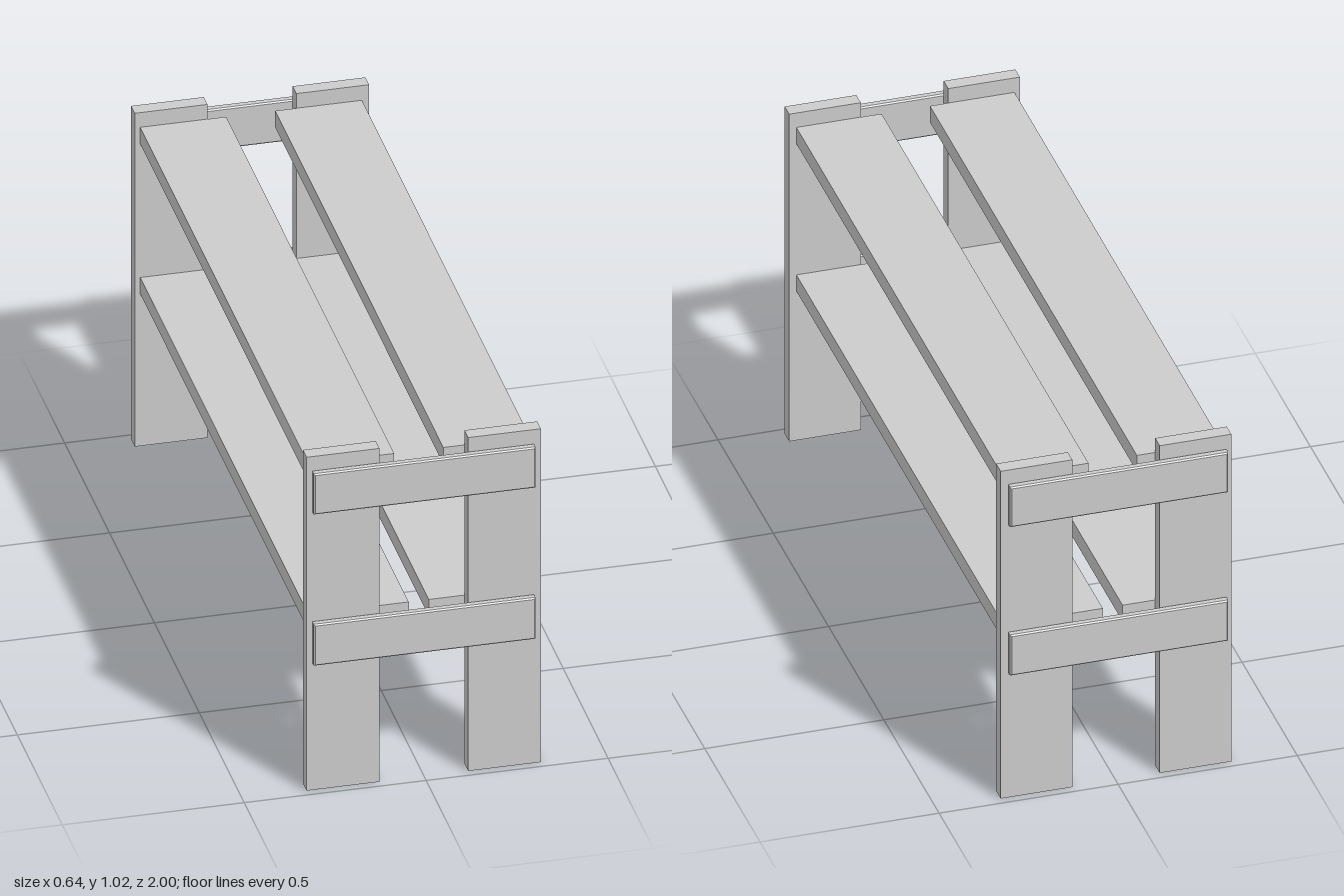
import * as THREE from 'three';

const material = new THREE.MeshStandardMaterial({ color: 0xcccccc, flatShading: true });

// Straight board given by its extents on each axis
function board(name, [x0, x1], [y0, y1], [z0, z1]) {
  const mesh = new THREE.Mesh(new THREE.BoxGeometry(x1 - x0, y1 - y0, z1 - z0), material);
  mesh.position.set((x0 + x1) / 2, (y0 + y1) / 2, (z0 + z1) / 2);
  mesh.name = name;
  return mesh;
}

// Board with small chamfers along its edges
function chamferedBoard(name, [x0, x1], [y0, y1], [z0, z1], c = 0.004) {
  const shape = new THREE.Shape([
    new THREE.Vector2(x0 + c, y0 + c),
    new THREE.Vector2(x1 - c, y0 + c),
    new THREE.Vector2(x1 - c, y1 - c),
    new THREE.Vector2(x0 + c, y1 - c),
  ]);
  const geometry = new THREE.ExtrudeGeometry(shape, {
    depth: z1 - z0 - 2 * c, bevelEnabled: true, bevelSize: c, bevelThickness: c, bevelSegments: 1,
  });
  geometry.translate(0, 0, z0 + c);
  const mesh = new THREE.Mesh(geometry, material);
  mesh.name = name;
  return mesh;
}

export function createModel() {
  const model = new THREE.Group();
  model.name = 'slattedBench';

  // End frames: two posts joined by two outer rails
  for (const [end, postZ, railZ] of [
    ['front', [0.936, 0.977], [0.977, 1]],
    ['back', [-0.977, -0.936], [-1, -0.977]],
  ]) {
    const frame = new THREE.Group();
    frame.name = end + 'Frame';
    frame.add(
      board(end + 'RightPost', [-0.323, -0.123], [0, 1.023], postZ),
      board(end + 'LeftPost', [0.121, 0.321], [0, 1.023], postZ),
      chamferedBoard(end + 'UpperRail', [-0.308, 0.301], [0.856, 0.981], railZ),
      chamferedBoard(end + 'LowerRail', [-0.308, 0.301], [0.392, 0.519], railZ),
    );
    model.add(frame);
  }

  // Long planks: a narrower upper pair and a wider lower pair
  const length = [-0.936, 0.936];
  for (const [level, inner, y] of [
    ['upper', [-0.072, 0.063], [0.927, 0.978]],
    ['lower', [-0.032, 0.023], [0.466, 0.517]],
  ]) {
    model.add(
      board(level + 'RightPlank', [-0.308, inner[0]], y, length),
      board(level + 'LeftPlank', [inner[1], 0.301], y, length),
    );
  }
  return model;
}
